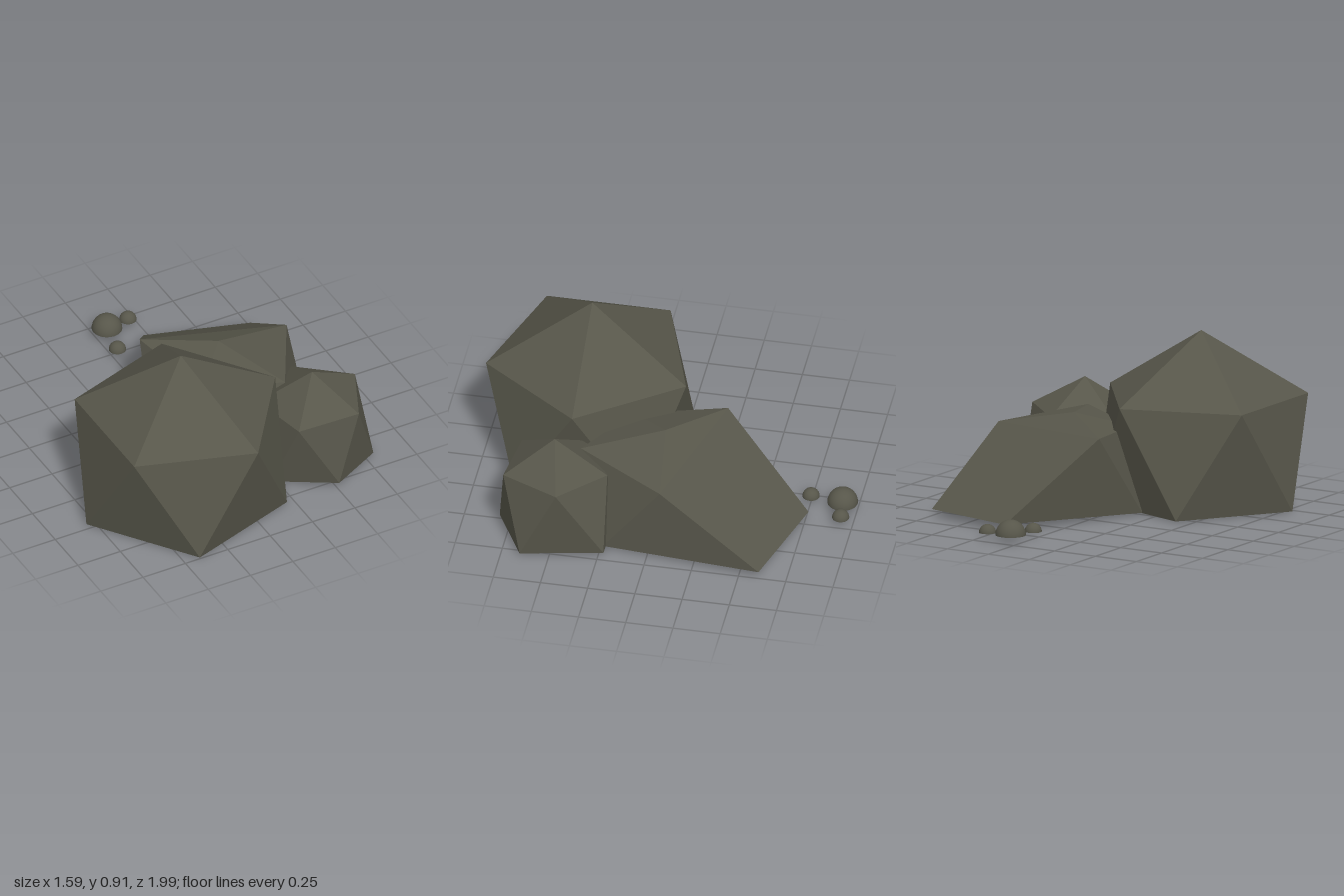
import * as THREE from 'three';
import { ConvexGeometry } from 'three/addons/geometries/ConvexGeometry.js';

const rockMat = new THREE.MeshStandardMaterial({ color: 0x57564a, flatShading: true });
rockMat.name = 'dark olive stone';
const pebbleMat = new THREE.MeshStandardMaterial({ color: 0x57564a });
pebbleMat.name = 'smooth olive stone';

// Faceted boulder as the hull of its corner points
function boulder(name, corners) {
  const points = corners.map(([x, y, z]) => new THREE.Vector3(x, y, z));
  const mesh = new THREE.Mesh(new ConvexGeometry(points), rockMat);
  mesh.name = name;
  return mesh;
}

// Five corners around a centre, starting at the given angle in degrees
function ring(cx, y, cz, radius, startDeg) {
  return Array.from({ length: 5 }, (_, i) => {
    const a = THREE.MathUtils.degToRad(startDeg + i * 72);
    return [cx + radius * Math.cos(a), y, cz + radius * Math.sin(a)];
  });
}

// Half-round pebble with a flat underside
function pebble(name, x, y, z, r) {
  const group = new THREE.Group();
  group.name = name;
  const dome = new THREE.Mesh(
    new THREE.SphereGeometry(r, 24, 10, 0, Math.PI * 2, 0, Math.PI / 2), pebbleMat);
  dome.name = name + 'Dome';
  const base = new THREE.Mesh(new THREE.CircleGeometry(r, 24).rotateX(Math.PI / 2), pebbleMat);
  base.name = name + 'Base';
  group.add(dome, base);
  group.position.set(x, y, z);
  return group;
}

export function createModel() {
  const model = new THREE.Group();
  model.name = 'rockPile';

  // Large boulder: twenty-sided solid cut flat at its lower ring
  model.add(boulder('largeBoulder', [
    [-0.24, 0.91, 0.465],
    ...ring(-0.24, 0.567, 0.465, 0.557, 0),
    ...ring(-0.24, 0.008, 0.465, 0.557, 36),
  ]));

  // Small boulder: the same form, slightly tilted
  model.add(boulder('smallBoulder', [
    [0.505, 0.57, 0.52],
    [0.79, 0.412, 0.46], [0.65, 0.408, 0.765], [0.315, 0.388, 0.73],
    [0.25, 0.385, 0.4], [0.54, 0.4, 0.235],
    [0.797, 0.022, 0.65], [0.51, 0.036, 0.81], [0.22, 0.01, 0.6],
    [0.36, 0.005, 0.22], [0.715, 0.025, 0.222],
  ]));

  // Sloping boulder: ramp at the back, ridge running forward
  model.add(boulder('slopingBoulder', [
    [0.2, 0.05, -0.765], [0.745, 0.042, -0.605],
    [0.67, 0.42, -0.067], [0.24, 0.507, -0.015], [-0.08, 0.45, -0.285],
    [0.41, 0.455, 0.4], [0.02, 0.42, 0.2],
    [-0.16, 0.012, 0.01], [0.64, 0.012, 0.24], [0.2, 0.005, 0.48],
  ]));

  // Loose pebbles behind
  model.add(
    pebble('largePebble', 0.068, 0.04, -0.92, 0.08),
    pebble('sidePebble', 0.2, 0.04, -0.935, 0.045),
    pebble('nearPebble', 0.037, 0.03, -0.747, 0.045),
  );
  return model;
}
